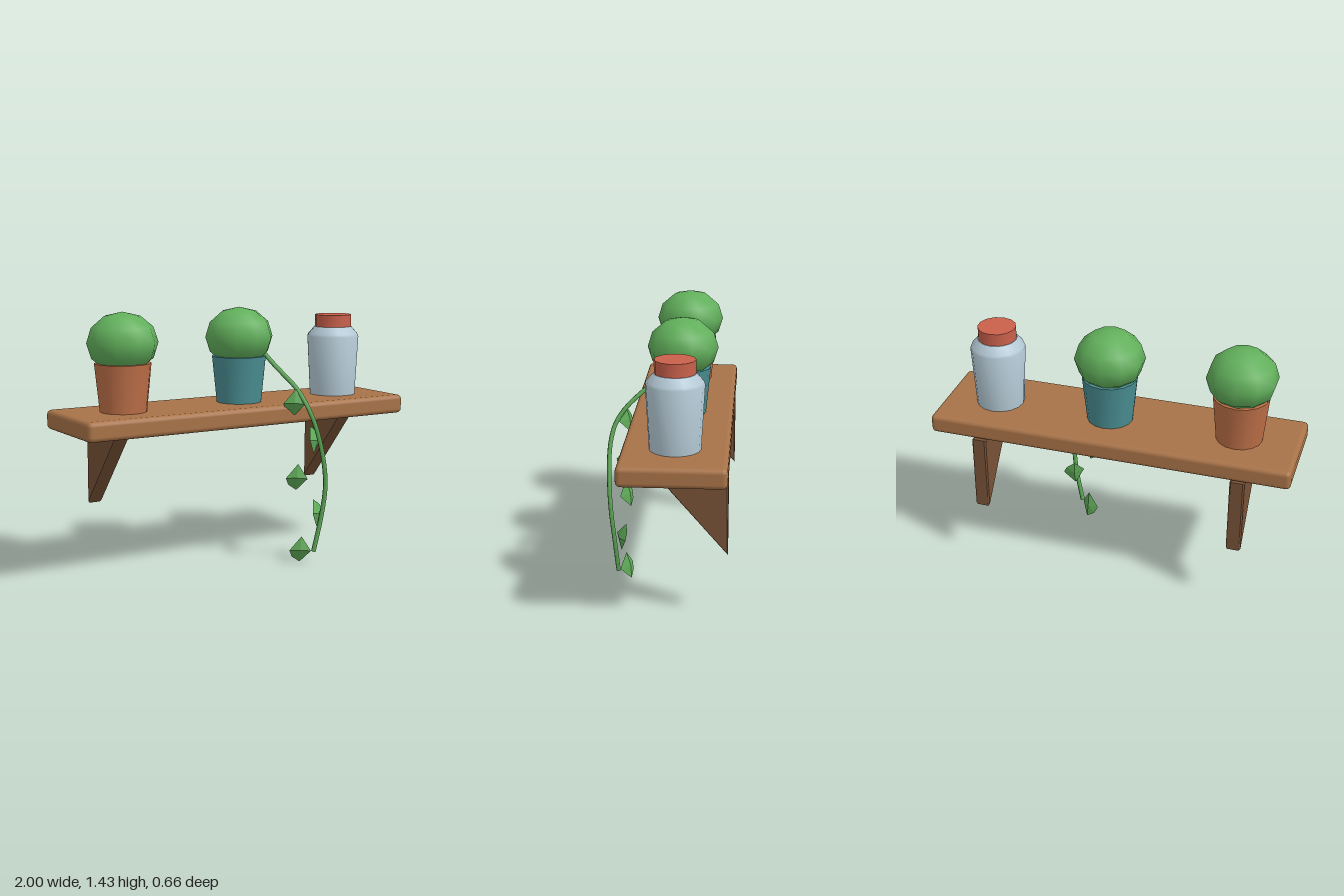
import * as THREE from 'three';
import { toCreasedNormals } from 'three/addons/utils/BufferGeometryUtils.js';
import { RoundedBoxGeometry } from 'three/addons/geometries/RoundedBoxGeometry.js';

function material(name, color) {
  const m = new THREE.MeshStandardMaterial({ color });
  m.name = name;
  return m;
}

export function createModel() {
  const model = new THREE.Group();
  model.name = 'plantShelf';

  const wood = material('wood', 0xa87348);
  const darkWood = material('darkWood', 0x785237);
  const terracotta = material('terracotta', 0xbd6f48);
  const teal = material('teal', 0x4a8f93);
  const foliage = material('foliage', 0x62b05c);
  const leafGreen = material('leafGreen', 0x5ea957);
  const glass = material('paleBlueGlass', 0xb4c9d5);
  const lidRed = material('lidRed', 0xc9604b);

  function add(name, geometry, mat, x = 0, y = 0, z = 0, parent = model) {
    const mesh = new THREE.Mesh(geometry, mat);
    mesh.name = name;
    mesh.position.set(x, y, z);
    parent.add(mesh);
    return mesh;
  }

  const boardTop = 0.912;
  const rowZ = -0.057;

  // Shelf board with softened edges
  add('shelfBoard', new RoundedBoxGeometry(2, 0.106, 0.548, 2, 0.026), wood, 0, 0.859, -0.058);

  // Triangular wall brackets
  const triangle = new THREE.Shape([
    new THREE.Vector2(-0.33, 0.802),
    new THREE.Vector2(-0.33, 0.37),
    new THREE.Vector2(0.045, 0.802),
  ]);
  const bevel = 0.008;
  const bracketGeometry = new THREE.ExtrudeGeometry(triangle, {
    depth: 0.08 - 2 * bevel,
    bevelThickness: bevel, bevelSize: bevel, bevelOffset: -bevel, bevelSegments: 1,
  });
  bracketGeometry.translate(0, 0, -0.04 + bevel);
  bracketGeometry.rotateY(-Math.PI / 2);
  for (const side of [-1, 1]) {
    add(side < 0 ? 'rightBracket' : 'leftBracket', bracketGeometry, darkWood, side * 0.722);
  }

  // Potted plants: tapered pot and round bush
  const potGeometry = toCreasedNormals(new THREE.CylinderGeometry(0.152, 0.126, 0.258, 16), 0.8);
  const bushGeometry = new THREE.SphereGeometry(0.192, 10, 6);
  bushGeometry.rotateY(Math.PI / 2);
  bushGeometry.scale(1, 0.85, 1);
  function addPlant(name, x, potMaterial) {
    const plant = new THREE.Group();
    plant.name = name;
    plant.position.set(x, 0, rowZ);
    model.add(plant);
    add('pot', potGeometry, potMaterial, 0, boardTop + 0.129, 0, plant);
    add('bush', bushGeometry, foliage, 0, 1.277, 0, plant);
  }
  addPlant('terracottaPlant', -0.67, terracotta);
  addPlant('tealPlant', 0.05, teal);

  // Jar with sloped shoulder and lid
  const jarProfile = [[0, 0.912], [0.132, 0.912], [0.15, 1.25], [0.144, 1.264], [0.108, 1.305], [0, 1.305]]
    .map(([r, y]) => new THREE.Vector2(r, y));
  const jar = new THREE.Group();
  jar.name = 'jar';
  jar.position.set(0.69, 0, rowZ);
  model.add(jar);
  add('jarBody', toCreasedNormals(new THREE.LatheGeometry(jarProfile, 16), 0.6), glass, 0, 0, 0, jar);
  add('jarLid', toCreasedNormals(new THREE.CylinderGeometry(0.105, 0.105, 0.07, 14), 0.8), lidRed, 0, 1.339, 0, jar);

  // Trailing vine
  const vinePath = new THREE.CatmullRomCurve3([
    [0.165, 1.18, 0.03], [0.195, 1.115, 0.095], [0.25, 1.0, 0.225], [0.277, 0.91, 0.288],
    [0.315, 0.8, 0.315], [0.37, 0.6, 0.317], [0.39, 0.45, 0.308], [0.375, 0.28, 0.293], [0.335, 0.08, 0.278],
  ].map((p) => new THREE.Vector3(...p)));
  add('vine', new THREE.TubeGeometry(vinePath, 24, 0.013, 6), leafGreen);
  for (const t of [0, 1]) {
    const end = add('vineTip', new THREE.CircleGeometry(0.013, 6), leafGreen);
    end.position.copy(vinePath.getPointAt(t));
    end.lookAt(end.position.clone().addScaledVector(vinePath.getTangentAt(t), t ? 1 : -1));
  }

  // Faceted leaf: a five-point outline with a ridge point on each side
  const outline = [
    [0.008, 0.076, 0], [-0.055, -0.003, -0.028], [-0.034, -0.043, -0.035],
    [0.014, -0.076, -0.028], [0.053, -0.008, 0.028],
  ];
  const front = [-0.008, 0, 0.012], back = [0.008, -0.005, -0.024];
  const corners = [];
  outline.forEach((p, i) => {
    const q = outline[(i + 1) % outline.length];
    corners.push(...p, ...q, ...front, ...q, ...p, ...back);
  });
  const leafGeometry = new THREE.BufferGeometry();
  leafGeometry.setAttribute('position', new THREE.Float32BufferAttribute(corners, 3));
  leafGeometry.computeVertexNormals();

  // Leaves alternate along the vine, every other one turned over
  [[0.226, 0.925, 0.24], [0.353, 0.709, 0.256], [0.245, 0.505, 0.24], [0.377, 0.291, 0.256], [0.272, 0.089, 0.24]]
    .forEach((p, i) => {
      const leaf = add('vineLeaf', leafGeometry, leafGreen, ...p);
      if (i % 2) leaf.rotation.z = Math.PI;
    });

  return model;
}
